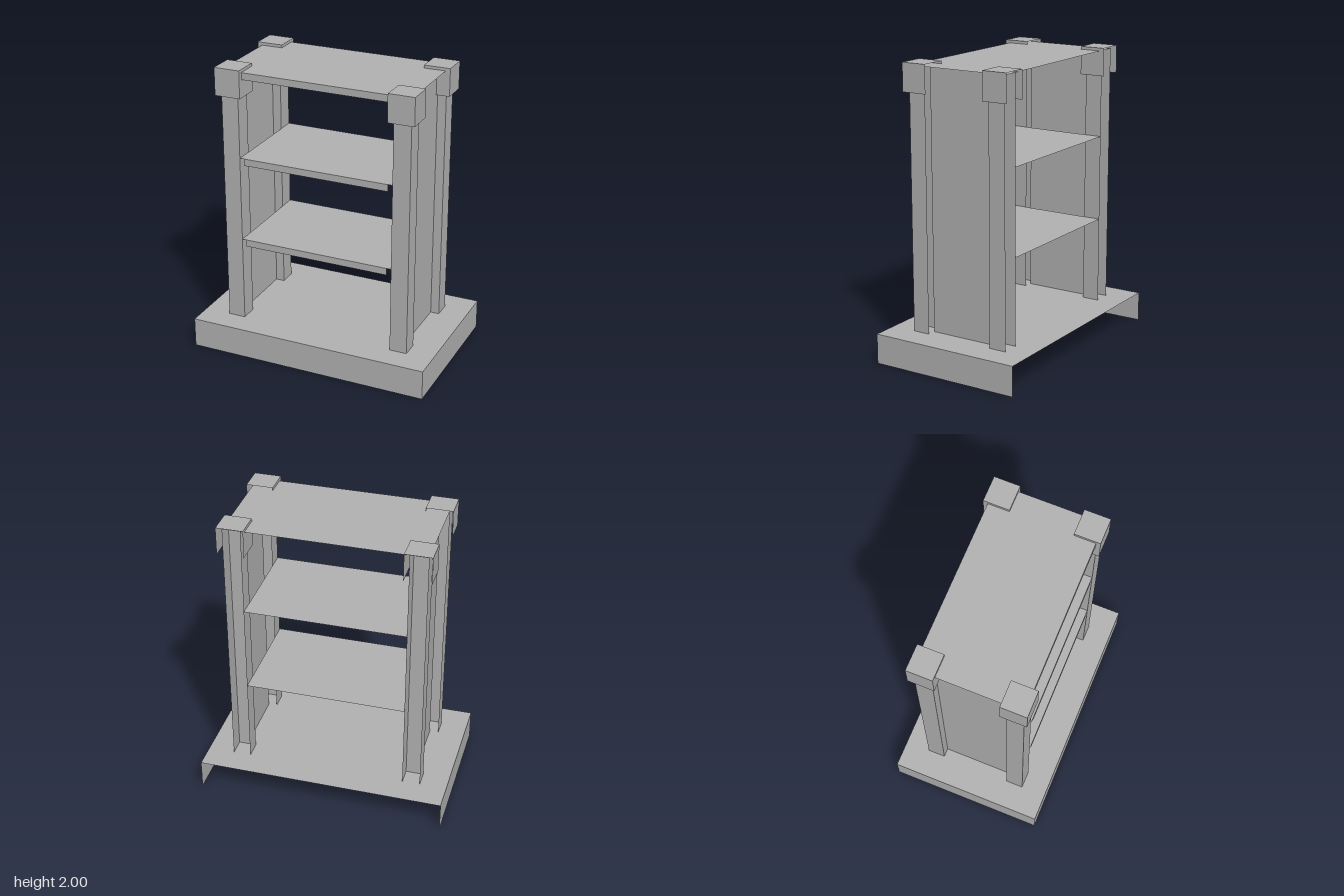
import * as THREE from 'three';

const grey = new THREE.MeshStandardMaterial({ color: 0xb2b2b2, side: THREE.DoubleSide });
grey.name = 'grey';

// Flat rectangle facing 'x', 'y' or 'z', centred at (x, y, z)
function panel(name, facing, w, h, x, y, z) {
  const geo = new THREE.PlaneGeometry(w, h);
  if (facing === 'x') geo.rotateY(Math.PI / 2);
  if (facing === 'y') geo.rotateX(-Math.PI / 2);
  const mesh = new THREE.Mesh(geo, grey);
  mesh.name = name;
  mesh.position.set(x, y, z);
  return mesh;
}

// Hollow block, open at the back and below; the lid is optional
function shell(name, w, d, y0, y1, x, z, lid = true) {
  const group = new THREE.Group();
  const h = y1 - y0, y = (y0 + y1) / 2;
  group.name = name;
  group.add(panel(name + 'Front', 'z', w, h, x, y, z + d / 2));
  for (const s of [-1, 1]) group.add(panel(name + 'Side', 'x', d, h, x + s * w / 2, y, z));
  if (lid) group.add(panel(name + 'Top', 'y', w, d, x, y1, z));
  return group;
}

export function createModel() {
  const model = new THREE.Group();
  model.name = 'shelfUnit';

  // Plinth
  model.add(shell('base', 1.685, 1.06, 0, 0.205, 0, 0));

  // Corner posts with square caps, and a thin wall between each pair
  for (const sx of [-1, 1]) {
    for (const sz of [-1, 1]) {
      model.add(shell('post', 0.12, 0.12, 0.205, 1.98, sx * 0.601, sz * 0.3, false));
      model.add(shell('cap', 0.18, 0.177, 1.81, 2, sx * 0.602, sz * 0.302));
    }
    model.add(panel('sideWall', 'x', 0.48, 1.775, sx * 0.601, 1.0925, 0));
  }

  // Shelves and top board, each with a front lip
  for (const [name, y, w] of [['lowerShelf', 0.8, 1.08], ['upperShelf', 1.387, 1.08], ['topBoard', 1.98, 1.322]]) {
    model.add(panel(name, 'y', w, 0.72, 0, y, 0));
    model.add(panel(name + 'Lip', 'z', 1.022, 0.048, 0, y - 0.024, 0.36));
  }
  return model;
}
